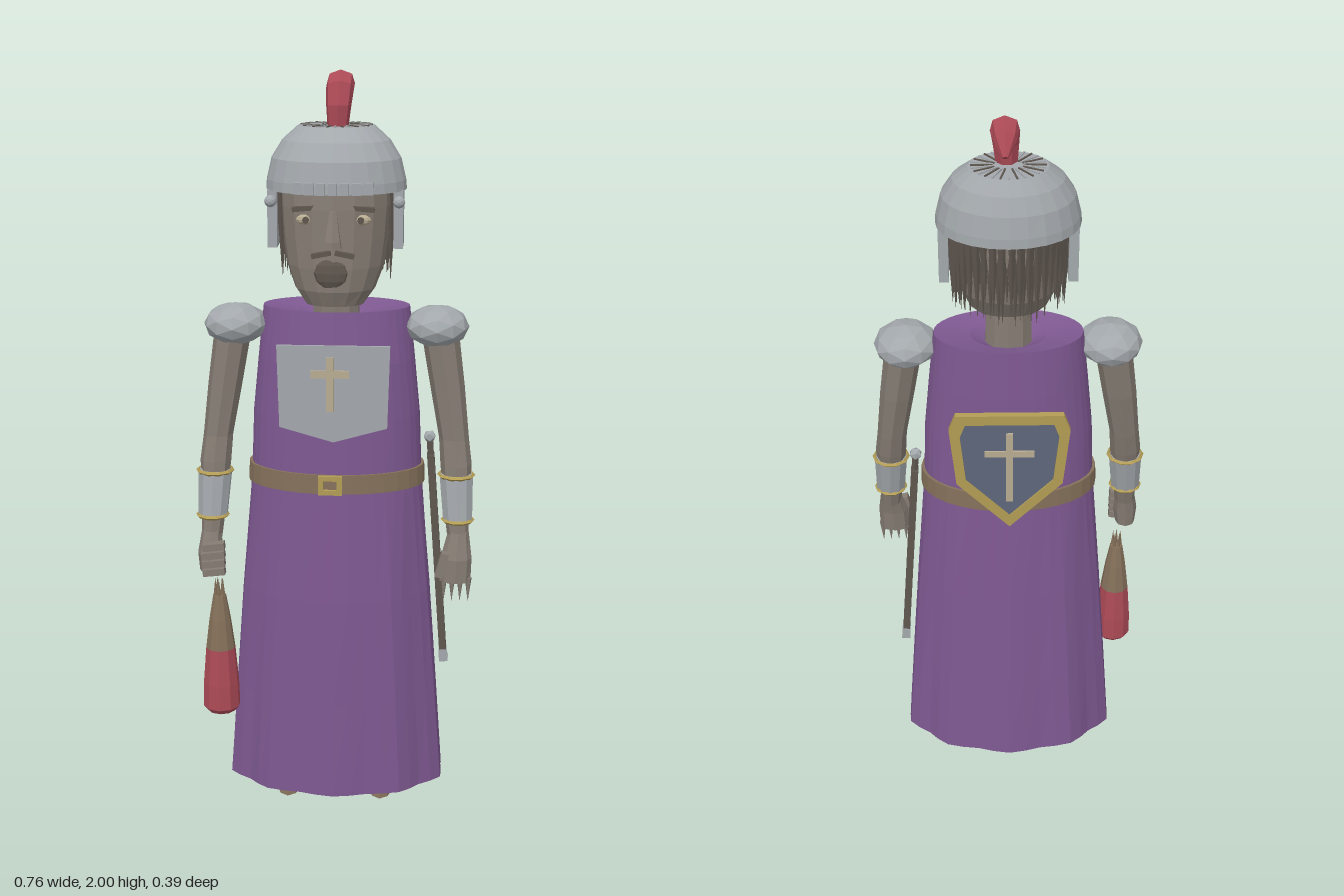
import * as THREE from 'three';

const mat = (name, color, side = THREE.FrontSide) => {
  const m = new THREE.MeshStandardMaterial({ color, flatShading: true, side });
  m.name = name;
  return m;
};

export function createModel() {
  const D = THREE.DoubleSide;
  const purple = mat('purple cloth', 0x7d5890, D);
  const metal = mat('steel', 0xa3a8ac, D);
  const skin = mat('skin', 0x857c73);
  const hairMat = mat('dark hair', 0x5f574f, D);
  const gold = mat('gold', 0xb29c55);
  const red = mat('red', 0xab4a56);
  const brown = mat('leather', 0x84705a);
  const blue = mat('shield blue', 0x5d667a);
  const tan = mat('pale trim', 0xb8ac92);

  const root = new THREE.Group();
  root.name = 'knight';
  const add = (name, geo, material, x = 0, y = 0, z = 0, parent = root) => {
    const m = new THREE.Mesh(geo, material);
    m.name = name;
    m.position.set(x, y, z);
    parent.add(m);
    return m;
  };
  const box = (name, material, w, h, d, x, y, z) => add(name, new THREE.BoxGeometry(w, h, d), material, x, y, z);

  // Skin over elliptical rings [x, y, z, rx, rz, backward tilt], listed from bottom to top
  const loft = (rings, n, { bottom = true, top = true, fold = () => 1 } = {}) => {
    const pos = [], idx = [];
    rings.forEach(([x, y, z, rx, rz, tilt = 0], i) => {
      for (let j = 0; j < n; j++) {
        const a = (j / n) * Math.PI * 2, f = fold(a, i);
        const w = rz * f * Math.cos(a);
        pos.push(x + rx * f * Math.sin(a), y + w * Math.sin(tilt), z + w * Math.cos(tilt));
      }
    });
    for (let i = 0; i < rings.length - 1; i++) {
      for (let j = 0; j < n; j++) {
        const a = i * n + j, b = i * n + (j + 1) % n;
        idx.push(a, b, b + n, a, b + n, a + n);
      }
    }
    const last = (rings.length - 1) * n;
    for (let j = 1; j < n - 1; j++) {
      if (bottom) idx.push(0, j + 1, j);
      if (top) idx.push(last, last + j, last + j + 1);
    }
    const g = new THREE.BufferGeometry();
    g.setAttribute('position', new THREE.Float32BufferAttribute(pos, 3));
    g.setIndex(idx);
    g.computeVertexNormals();
    return g;
  };

  const plate = (pts, depth, hole) => {
    const v = (p) => p.map(([x, y]) => new THREE.Vector2(x, y));
    const s = new THREE.Shape(v(pts));
    if (hole) s.holes.push(new THREE.Path(v(hole)));
    return new THREE.ExtrudeGeometry(s, { depth, bevelEnabled: false });
  };
  let seed = 7;
  const rand = () => (seed = (seed * 16807) % 2147483647) / 2147483647;

  // Robe: pleated skirt, torso and sunken collar
  add('robe', loft([
    [0, 0.03, 0.005, 0.305, 0.19], [0, 0.3, 0.008, 0.285, 0.178], [0, 0.6, 0.012, 0.262, 0.163],
    [0, 0.93, 0.013, 0.232, 0.138], [0, 1.1, 0.015, 0.225, 0.13], [0, 1.25, 0.015, 0.21, 0.125],
    [0, 1.39, 0.01, 0.195, 0.11], [0, 1.375, 0.02, 0.1, 0.07], [0, 1.35, 0.025, 0.05, 0.045],
  ], 40, { bottom: false, top: false, fold: (a, i) => 1 + [0.03, 0.024, 0.015][Math.min(i, 3)] * Math.cos(10 * a) || 1 }), purple);
  add('belt', loft([[0, 0.905, 0.013, 0.241, 0.146], [0, 0.957, 0.013, 0.239, 0.144]], 32), brown);
  const sq = (r, h) => [[-r, -h], [r, -h], [r, h], [-r, h]];
  add('buckle', plate(sq(0.032, 0.026), 0.012, sq(0.018, 0.013)), gold, -0.008, 0.931, 0.156);

  // Breastplate with a cross
  add('breastplate', plate([[-0.148, 1.31], [-0.142, 1.09], [0, 1.05], [0.142, 1.09], [0.148, 1.31]], 0.009), metal, 0, 0, 0.15);
  box('breastplate cross upright', tan, 0.02, 0.145, 0.006, -0.008, 1.207, 0.162);
  box('breastplate cross bar', tan, 0.1, 0.02, 0.006, -0.008, 1.235, 0.162);

  // Shield on the back
  const rim = [[-0.14, 1.246], [-0.157, 1.2], [-0.14, 1.03], [0, 0.886], [0.14, 1.03], [0.157, 1.2], [0.14, 1.246]];
  const inner = rim.map(([x, y]) => [x * 0.82, 1.09 + (y - 1.09) * 0.82]);
  add('shield rim', plate(rim, 0.018, inner), gold, 0, 0, -0.173);
  add('shield face', plate(inner, 0.01), blue, 0, 0, -0.168);
  box('shield cross upright', tan, 0.018, 0.22, 0.006, 0, 1.08, -0.17);
  box('shield cross bar', tan, 0.13, 0.018, 0.006, 0, 1.125, -0.17);

  // Head and face
  add('neck', loft([[0, 1.32, 0.025, 0.065, 0.05], [0, 1.48, 0.03, 0.06, 0.05]], 10), skin);
  add('head', loft([
    [0, 1.41, 0.09, 0.075, 0.055], [0, 1.45, 0.07, 0.105, 0.092], [0, 1.51, 0.052, 0.128, 0.113],
    [0, 1.58, 0.042, 0.138, 0.122], [0, 1.66, 0.035, 0.144, 0.128], [0, 1.74, 0.03, 0.145, 0.125],
  ], 16), skin);
  add('nose', loft([[0, 1.565, 0.17, 0.026, 0.03], [0, 1.585, 0.172, 0.022, 0.026], [0, 1.66, 0.156, 0.01, 0.012]], 6), skin);
  add('mouth', new THREE.SphereGeometry(1, 12, 6), hairMat, -0.005, 1.5, 0.155).scale.set(0.045, 0.042, 0.015);
  for (const s of [-1, 1]) {
    const eye = add('eye', new THREE.SphereGeometry(1, 8, 6), tan, s * 0.07, 1.635, 0.141);
    eye.scale.set(0.026, 0.014, 0.012);
    add('iris', new THREE.CylinderGeometry(0.009, 0.009, 0.006, 8), hairMat, s * 0.07, 1.635, 0.153).rotation.x = Math.PI / 2;
    box('eyebrow', hairMat, 0.07, 0.012, 0.02, s * 0.07, 1.664, 0.143).rotation.z = -s * 0.1;
    box('moustache', hairMat, 0.05, 0.012, 0.02, s * 0.03, 1.55, 0.166).rotation.z = -s * 0.2;
  }

  // Ragged hair around the back and sides of the head
  const hair = new THREE.Group();
  hair.name = 'hair';
  root.add(hair);
  for (let i = 0; i < 46; i++) {
    const a = Math.PI + (i / 45 - 0.5) * 3.5, len = 0.2 + rand() * 0.08, k = i % 2 ? 1 : 0.93;
    const lock = add('lock', new THREE.ConeGeometry(0.017, len, 4), hairMat,
      Math.sin(a) * 0.144 * k, 1.73 - len / 2, 0.03 + Math.cos(a) * 0.117 * k, hair);
    lock.rotation.set(Math.PI, 0, 0);
  }

  // Helmet, cheek guards and brow studs
  add('helmet', loft([
    [0, 1.7, 0.026, 0.183, 0.146], [0, 1.725, 0.026, 0.181, 0.145], [0, 1.78, 0.025, 0.168, 0.135],
    [0, 1.825, 0.02, 0.14, 0.112], [0, 1.86, 0.01, 0.1, 0.078],
  ], 24), metal);
  for (let i = 0; i < 28; i++) {
    const a = (i / 28) * Math.PI * 2;
    box('crown rib', i % 2 ? hairMat : metal, 0.004, 0.006, 0.055, Math.sin(a) * 0.066, 1.86, 0.01 + Math.cos(a) * 0.05).rotation.y = a;
  }
  for (let i = -3; i <= 3; i++) box('brow stud', metal, 0.022, 0.03, 0.016, i * 0.03, 1.716, 0.176 - i * i * 0.002);
  for (const s of [-1, 1]) {
    box('cheek guard', metal, 0.025, 0.15, 0.1, s * 0.163, 1.627, 0.03);
    add('helmet rivet', new THREE.IcosahedronGeometry(0.016, 1), metal, s * 0.165, 1.675, 0.1);
  }

  // Plume sweeping backward
  add('plume', loft([
    [0.004, 1.85, 0.035, 0.027, 0.024, 0], [0.006, 1.91, 0.033, 0.033, 0.03, 0.1], [0.008, 1.955, 0.015, 0.037, 0.032, 0.6],
    [0.009, 1.97, -0.015, 0.037, 0.029, 1.3], [0.009, 1.96, -0.052, 0.03, 0.024, 1.9], [0.009, 1.925, -0.085, 0.008, 0.007, 2.3],
  ], 7), red);

  // Arms, pauldrons and bracers
  for (const s of [-1, 1]) {
    const pad = add('pauldron', new THREE.IcosahedronGeometry(1, 1), metal, s * 0.268, 1.34, 0.033);
    pad.scale.set(0.085, 0.056, 0.09);
    add('arm', loft([
      [s * 0.335, 0.76, 0.105, 0.028, 0.026], [s * 0.328, 0.86, 0.088, 0.034, 0.034], [s * 0.325, 0.97, 0.068, 0.042, 0.042],
      [s * 0.318, 1.04, 0.055, 0.04, 0.042], [s * 0.298, 1.18, 0.042, 0.046, 0.05], [s * 0.275, 1.33, 0.033, 0.05, 0.055],
    ], 8), skin);
    add('bracer', loft([[s * 0.332, 0.825, 0.095, 0.041, 0.04], [s * 0.326, 0.945, 0.074, 0.047, 0.046]], 10), metal);
    for (const [y, x, z, r] of [[0.822, 0.332, 0.096, 0.04], [0.942, 0.326, 0.075, 0.046]]) {
      add('bracer trim', new THREE.TorusGeometry(r, 0.006, 4, 10), gold, s * x, y, z).rotation.x = Math.PI / 2;
    }
  }

  // Open left hand
  add('leftPalm', loft([[0.328, 0.655, 0.125, 0.042, 0.026], [0.33, 0.72, 0.122, 0.042, 0.028], [0.335, 0.79, 0.105, 0.028, 0.024]], 8), skin);
  for (let i = 0; i < 4; i++) add('finger', new THREE.ConeGeometry(0.01, 0.07, 5), skin, 0.298 + i * 0.022, 0.632, 0.13).rotation.x = Math.PI;
  box('thumb', skin, 0.022, 0.07, 0.024, 0.292, 0.71, 0.15).rotation.z = -0.25;

  // Right fist with curled fingers
  add('rightPalm', loft([[-0.34, 0.67, 0.12, 0.028, 0.03], [-0.338, 0.72, 0.12, 0.034, 0.034], [-0.335, 0.78, 0.105, 0.027, 0.025]], 8), skin);
  for (let i = 0; i < 4; i++) box('curled finger', skin, 0.06, 0.019, 0.028, -0.325, 0.675 + i * 0.024, 0.148).rotation.z = 0.12;

  // Club
  const cx = -0.318, cz = 0.105;
  add('club body', loft([[cx, 0.245, cz, 0.04, 0.04], [cx, 0.26, cz, 0.052, 0.052], [cx, 0.33, cz, 0.05, 0.05], [cx, 0.435, cz, 0.041, 0.041]], 10), red);
  add('club neck', loft([[cx, 0.435, cz, 0.041, 0.041], [cx, 0.52, cz, 0.03, 0.03], [cx, 0.59, cz, 0.018, 0.018]], 10), brown);
  for (let i = 0; i < 5; i++) {
    const a = i * Math.PI * 0.4;
    add('club splinter', new THREE.ConeGeometry(0.007, 0.06, 4), brown, cx + Math.sin(a) * 0.011, 0.61, cz + Math.cos(a) * 0.011);
  }

  // Sheathed sword hanging on the left hip
  const sword = new THREE.Group();
  sword.name = 'sword';
  sword.position.set(0.278, 0.68, -0.02);
  sword.rotation.z = 0.075;
  root.add(sword);
  add('scabbard', new THREE.BoxGeometry(0.02, 0.58, 0.032), hairMat, 0, 0, 0, sword);
  add('scabbard tip', new THREE.BoxGeometry(0.024, 0.035, 0.037), metal, 0, -0.305, 0, sword);
  add('grip', new THREE.CylinderGeometry(0.01, 0.01, 0.06, 6), hairMat, 0, 0.31, 0, sword);
  add('pommel', new THREE.IcosahedronGeometry(0.018, 0), metal, 0, 0.34, 0, sword);

  // Legs and boots under the hem
  for (const s of [-1, 1]) {
    const x = s * 0.13;
    add('leg', loft([[x, 0.05, 0.03, 0.03, 0.03], [x * 0.9, 0.4, 0.02, 0.04, 0.042], [x * 0.75, 0.85, 0.015, 0.06, 0.06]], 8), skin);
    add('boot', loft([[x, 0.002, 0.075, 0.036, 0.078], [x, 0.03, 0.07, 0.035, 0.074], [x, 0.075, 0.035, 0.034, 0.038]], 10), brown);
  }
  return root;
}
